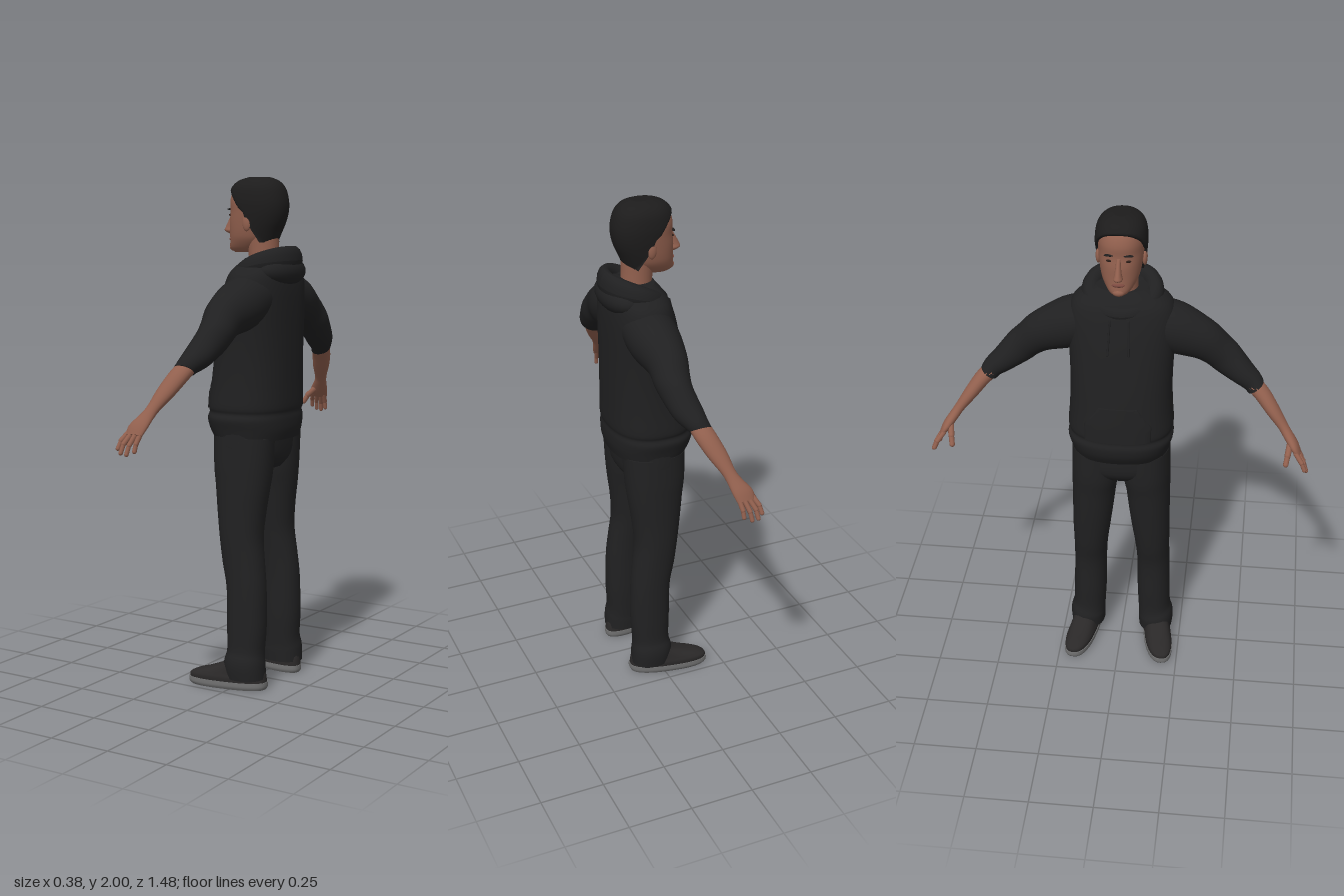
import * as THREE from 'three';

const mat = (name, color) => Object.assign(new THREE.MeshStandardMaterial({ color }), { name });

export function createModel() {
  const group = new THREE.Group();
  const skin = mat('skin', 0x92604e), lipTone = mat('lip', 0x7c4a40), hairMat = mat('hair', 0x1d1c1c);
  const cloth = mat('hoodieCloth', 0x202021), trouser = mat('trouserCloth', 0x212122);
  const shoeMat = mat('shoe', 0x2a2828), soleMat = mat('sole', 0x707070), eyeMat = mat('eye', 0x2a1c17);

  const add = (name, geo, material) => {
    const m = new THREE.Mesh(geo, material);
    m.name = name;
    group.add(m);
    return m;
  };

  // Smooth skin over rings [x, y, z, halfX, halfSide]; rings follow the path in the yz plane
  const loft = (rings, { n = 28, e = 2, side = 1, steps = 4, warp } = {}) => {
    const cr = (a, b, c, d, t) => 0.5 * (2 * b + (c - a) * t + (2 * a - 5 * b + 4 * c - d) * t * t + (3 * b - a - 3 * c + d) * t * t * t);
    const at = i => rings[Math.max(0, Math.min(rings.length - 1, i))];
    const R = [];
    for (let i = 0; i < rings.length - 1; i++)
      for (let k = 0; k < steps; k++)
        R.push(at(i).map((_, q) => cr(at(i - 1)[q], at(i)[q], at(i + 1)[q], at(i + 2)[q], k / steps)));
    R.push(at(rings.length - 1));
    const pos = [], idx = [];
    const tri = (a, b, c) => (side > 0 ? idx.push(a, b, c) : idx.push(a, c, b));
    const pw = v => Math.sign(v) * Math.pow(Math.abs(v), 2 / e);
    const ring = i => {
      const [x, y, z, a, b] = R[i];
      const p = R[Math.max(0, i - 1)], q = R[Math.min(R.length - 1, i + 1)];
      const f = Math.atan2(-(q[2] - p[2]), q[1] - p[1]);
      for (let j = 0; j < n; j++) {
        const t = j / n * Math.PI * 2, c = a * pw(Math.cos(t)), s = b * pw(Math.sin(t));
        const v = new THREE.Vector3(x + c, y + s * Math.sin(f), z + s * Math.cos(f));
        if (warp) warp(v);
        pos.push(v.x, v.y, v.z * side);
      }
    };
    R.forEach((_, i) => ring(i));
    for (let i = 0; i < R.length - 1; i++)
      for (let j = 0; j < n; j++) {
        const a = i * n + j, c = i * n + (j + 1) % n;
        tri(a, a + n, c);
        tri(a + n, c + n, c);
      }
    // End caps with their own vertices, for crisp rims
    for (const i of [0, R.length - 1]) {
      const base = pos.length / 3;
      ring(i);
      const m = new THREE.Vector3(R[i][0], R[i][1], R[i][2]);
      if (warp) warp(m);
      pos.push(m.x, m.y, m.z * side);
      for (let j = 0; j < n; j++) {
        const a = base + j, b = base + (j + 1) % n;
        i === 0 ? tri(base + n, a, b) : tri(base + n, b, a);
      }
    }
    const g = new THREE.BufferGeometry();
    g.setAttribute('position', new THREE.Float32BufferAttribute(pos, 3));
    g.setIndex(idx);
    g.computeVertexNormals();
    return g;
  };

  // Ring from front x, back x, height and half width
  const fb = (y, front, back, b, z = 0) => [(front + back) / 2, y, z, (back - front) / 2, b];
  const blob = (name, p, r, material) => {
    const g = new THREE.SphereGeometry(1, 24, 16).scale(...r).translate(...p);
    return add(name, g, material);
  };
  const capsule = (name, p, q, r, material) => {
    const a = new THREE.Vector3(...p), b = new THREE.Vector3(...q), d = b.clone().sub(a);
    const m = add(name, new THREE.CapsuleGeometry(r, d.length(), 4, 10), material);
    m.position.copy(a).add(b).multiplyScalar(0.5);
    m.quaternion.setFromUnitVectors(new THREE.Vector3(0, 1, 0), d.normalize());
  };

  // Hoodie body
  add('hoodieBody', loft([
    fb(0.99, -0.135, 0.155, 0.188), fb(1.03, -0.158, 0.165, 0.197), fb(1.07, -0.165, 0.166, 0.207),
    fb(1.095, -0.158, 0.163, 0.2), fb(1.12, -0.16, 0.168, 0.206), fb(1.2, -0.15, 0.168, 0.2),
    fb(1.3, -0.137, 0.168, 0.197), fb(1.4, -0.12, 0.168, 0.2), fb(1.5, -0.1, 0.168, 0.206),
    fb(1.58, -0.08, 0.165, 0.205), fb(1.64, -0.058, 0.155, 0.18), fb(1.69, -0.02, 0.13, 0.1)
  ], { n: 48, e: 2.4 }), cloth);
  add('frontPocket', loft([
    fb(1.105, -0.166, 0.1, 0.19), fb(1.17, -0.16, 0.1, 0.19), fb(1.25, -0.15, 0.1, 0.19)
  ], { n: 48, e: 2.4, warp: v => {
    const w = v.y < 1.17 ? 0.13 : 0.13 - (v.y - 1.17) * 0.7;
    v.z = Math.max(-w, Math.min(w, v.z));
  } }), cloth);

  // Hood: a tilted roll round the neck, thicker at the back, and the bag hanging behind
  const roll = new THREE.TorusGeometry(0.1, 0.03, 14, 48);
  const rp = roll.attributes.position;
  for (let i = 0; i < rp.count; i++) {
    const x = rp.getX(i), y = rp.getY(i), h = rp.getZ(i), c = x / Math.hypot(x, y);
    rp.setXYZ(i, 0.055 + x, 1.66 + 0.035 * c - 0.012 * c * c + h * (1.45 + 0.4 * c), -y * 1.2);
  }
  // Laying the ring flat keeps its winding
  roll.computeVertexNormals();
  add('hoodRoll', roll, cloth);
  blob('hoodBag', [0.112, 1.64, 0], [0.078, 0.064, 0.145], cloth);
  for (const s of [-1, 1]) capsule('drawstring', [-0.082, 1.6, 0.035 * s], [-0.112, 1.47, 0.04 * s], 0.004, cloth);

  // Trouser seat
  add('trouserSeat', loft([
    fb(0.87, -0.08, 0.095, 0.13), fb(0.92, -0.113, 0.128, 0.19), fb(1.02, -0.115, 0.138, 0.194)
  ], { n: 40, e: 2.4 }), trouser);

  // Head and neck
  add('neck', loft([[0.05, 1.6, 0, 0.068, 0.07], [0.04, 1.68, 0, 0.06, 0.06], [0.035, 1.78, 0, 0.062, 0.062]]), skin);
  const headRings = [
    fb(1.712, -0.09, -0.01, 0.025), fb(1.727, -0.108, 0.035, 0.045), fb(1.76, -0.105, 0.075, 0.066),
    fb(1.79, -0.104, 0.092, 0.075), fb(1.83, -0.104, 0.11, 0.081), fb(1.87, -0.099, 0.12, 0.085),
    fb(1.91, -0.1, 0.12, 0.086), fb(1.95, -0.086, 0.107, 0.078), fb(1.975, -0.058, 0.082, 0.056),
    fb(1.988, -0.015, 0.045, 0.02)
  ];
  add('head', loft(headRings, { n: 48, e: 2.2 }), skin);

  // Hair shell, cut back along the hairline
  const line = [[1.74, 0.07], [1.78, 0.045], [1.83, 0.012], [1.865, 0], [1.885, -0.025], [1.92, -0.052], [1.955, -0.085], [1.975, -0.13]];
  const hairline = y => {
    let k = 0;
    while (k < line.length - 2 && y > line[k + 1][0]) k++;
    const [y0, x0] = line[k], [y1, x1] = line[k + 1];
    return x0 + (x1 - x0) * Math.min(1, Math.max(0, (y - y0) / (y1 - y0)));
  };
  const hairRings = headRings.slice(2).map(([x, y, z, a, b]) => [x + 0.003, y + (y > 1.9 ? (y - 1.9) * 0.14 : 0), z, a + 0.012, b + 0.011]);
  hairRings[0][1] = 1.75;
  add('hair', loft(hairRings, { n: 64, e: 2.2, steps: 6, warp: v => { v.x = Math.max(v.x, hairline(v.y)); } }), hairMat);

  // Face
  add('nose', loft([
    [-0.108, 1.784, 0, 0.01, 0.01], [-0.115, 1.795, 0, 0.024, 0.018], [-0.113, 1.81, 0, 0.022, 0.014],
    [-0.104, 1.84, 0, 0.015, 0.01], [-0.096, 1.868, 0, 0.008, 0.008]
  ], { n: 16 }), skin);
  blob('lips', [-0.103, 1.763, 0], [0.008, 0.008, 0.024], lipTone);
  blob('chin', [-0.095, 1.731, 0], [0.018, 0.016, 0.024], skin);

  for (const s of [1, -1]) {
    blob('eye', [-0.091, 1.856, 0.033 * s], [0.006, 0.005, 0.013], eyeMat);
    blob('eyebrow', [-0.092, 1.878, 0.034 * s], [0.008, 0.004, 0.02], hairMat);
    blob('ear', [0.012, 1.825, 0.086 * s], [0.018, 0.032, 0.01], skin);

    // Sleeve and forearm
    add('sleeve', loft([
      [0.05, 1.55, 0.1, 0.1, 0.09], [0.05, 1.515, 0.2, 0.098, 0.1], [0.045, 1.475, 0.3, 0.077, 0.083],
      [0.052, 1.43, 0.36, 0.068, 0.069], [0.05, 1.395, 0.4, 0.06, 0.066], [0.036, 1.345, 0.46, 0.057, 0.051],
      [0.022, 1.315, 0.5, 0.046, 0.042], [0.01, 1.295, 0.517, 0.042, 0.037]
    ], { side: s }), cloth);
    add('forearm', loft([
      [0.018, 1.32, 0.49, 0.038, 0.032], [0, 1.275, 0.54, 0.041, 0.031], [-0.025, 1.22, 0.585, 0.038, 0.027],
      [-0.05, 1.165, 0.628, 0.027, 0.02], [-0.066, 1.135, 0.65, 0.03, 0.019], [-0.085, 1.1, 0.676, 0.04, 0.018],
      [-0.091, 1.07, 0.695, 0.035, 0.012]
    ], { n: 20, side: s }), skin);

    // Fingers as knuckle, middle joint and tip
    const fingers = [
      [[-0.12, 1.08, 0.686], [-0.137, 1.05, 0.71], [-0.143, 1.022, 0.722]],
      [[-0.102, 1.078, 0.692], [-0.12, 1.04, 0.718], [-0.125, 1.008, 0.73]],
      [[-0.084, 1.076, 0.692], [-0.097, 1.036, 0.717], [-0.102, 1.004, 0.727]],
      [[-0.066, 1.078, 0.688], [-0.073, 1.042, 0.708], [-0.075, 1.015, 0.715]],
      [[-0.09, 1.11, 0.662], [-0.128, 1.075, 0.655], [-0.146, 1.045, 0.65]]
    ];
    fingers.forEach((f, i) => {
      const [a, b, c] = f.map(([x, y, z]) => [x, y, z * s]);
      const name = i === 4 ? 'thumb' : 'finger', r = i === 4 ? 0.012 : 0.0095;
      capsule(name, a, b, r, skin);
      capsule(name, b, c, r * 0.88, skin);
    });

    // Trouser leg
    add('trouserLeg', loft([
      fb(0.045, -0.04, 0.124, 0.07, 0.145), fb(0.1, -0.045, 0.122, 0.073, 0.146), fb(0.15, -0.035, 0.116, 0.067, 0.139),
      fb(0.25, -0.038, 0.122, 0.068, 0.135), fb(0.4, -0.042, 0.12, 0.067, 0.132), fb(0.5, -0.062, 0.11, 0.07, 0.128),
      fb(0.6, -0.077, 0.098, 0.077, 0.122), fb(0.7, -0.09, 0.105, 0.083, 0.115), fb(0.8, -0.101, 0.119, 0.089, 0.109),
      fb(0.88, -0.112, 0.128, 0.096, 0.102), fb(1, -0.115, 0.136, 0.096, 0.098)
    ], { n: 32, e: 2.2, side: s }), trouser);

    // Shoe and sole, toes turned outwards
    const turn = v => { v.z += -v.x * 0.17; };
    add('shoe', loft([
      fb(0.028, -0.186, 0.128, 0.056, 0.155), fb(0.045, -0.184, 0.126, 0.057, 0.155), fb(0.06, -0.155, 0.124, 0.053, 0.155),
      fb(0.075, -0.105, 0.12, 0.05, 0.155), fb(0.1, -0.045, 0.115, 0.046, 0.155), fb(0.13, -0.025, 0.11, 0.042, 0.155)
    ], { n: 36, e: 2.5, side: s, warp: turn }), shoeMat);
    add('sole', loft([
      fb(0, -0.18, 0.125, 0.053, 0.155), fb(0.012, -0.19, 0.131, 0.059, 0.155), fb(0.03, -0.19, 0.131, 0.059, 0.155)
    ], { n: 36, e: 2.5, side: s, warp: turn }), soleMat);
  }
  return group;
}
